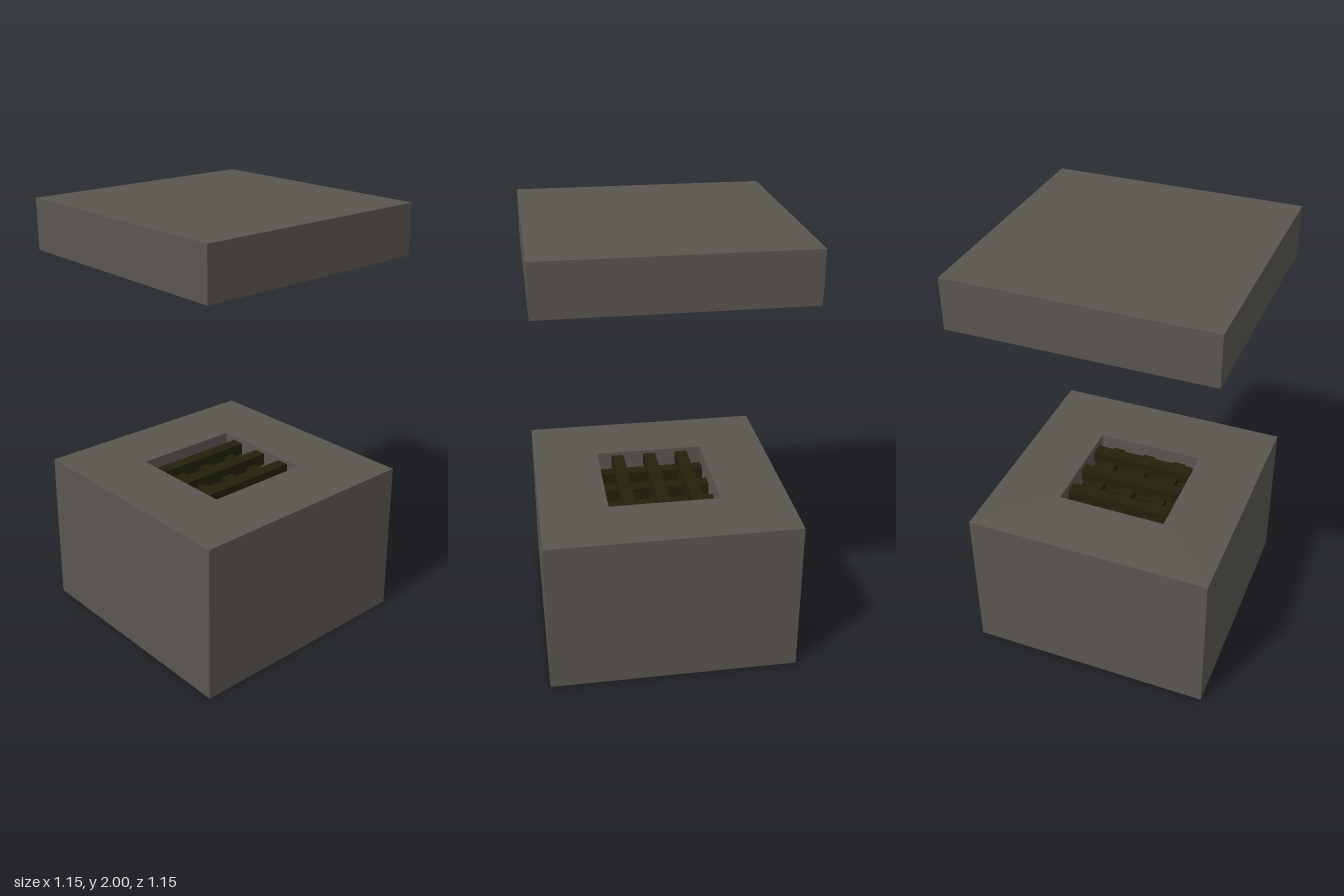
import * as THREE from 'three';

export function createModel() {
  const model = new THREE.Group();
  const stone = new THREE.MeshStandardMaterial({ color: 0x5a5650 });
  stone.name = 'dark stone';
  const iron = new THREE.MeshStandardMaterial({ color: 0x22210c });
  iron.name = 'blackened olive';

  const SIZE = 1.15, HEIGHT = 0.74, HOLE = 0.52, DEPTH = 0.22;

  function box(name, material, w, h, d, x, y, z, parent = model) {
    const mesh = new THREE.Mesh(new THREE.BoxGeometry(w, h, d), material);
    mesh.name = name;
    mesh.position.set(x, y, z);
    parent.add(mesh);
    return mesh;
  }

  const square = (PathType, s) => new PathType([
    new THREE.Vector2(-s / 2, -s / 2), new THREE.Vector2(s / 2, -s / 2),
    new THREE.Vector2(s / 2, s / 2), new THREE.Vector2(-s / 2, s / 2),
  ]);

  // Base block with a square pit in its top
  const outline = square(THREE.Shape, SIZE);
  outline.holes.push(square(THREE.Path, HOLE));
  const body = new THREE.ExtrudeGeometry(outline, { depth: HEIGHT, bevelEnabled: false });
  body.rotateX(-Math.PI / 2);
  const base = new THREE.Mesh(body, stone);
  base.name = 'base';
  model.add(base);
  box('pitFilling', stone, HOLE, HEIGHT - DEPTH, HOLE, 0, (HEIGHT - DEPTH) / 2, 0);

  // Floating slab
  box('lid', stone, SIZE, 0.23, SIZE, 0, 1.885, 0);

  // Crossed bars stacked in the pit
  const grate = new THREE.Group();
  grate.name = 'grate';
  model.add(grate);
  const bar = 0.06, length = 0.5;
  for (let layer = 0; layer < 3; layer++) {
    const y = HEIGHT - 0.012 - bar / 2 - layer * 0.04;
    for (const offset of [-0.16, 0, 0.16]) {
      if (layer % 2 === 0) box('lengthwiseBar', iron, bar, bar, length, offset, y, 0, grate);
      else box('crossBar', iron, length, bar, bar, 0, y, offset, grate);
    }
  }
  return model;
}
